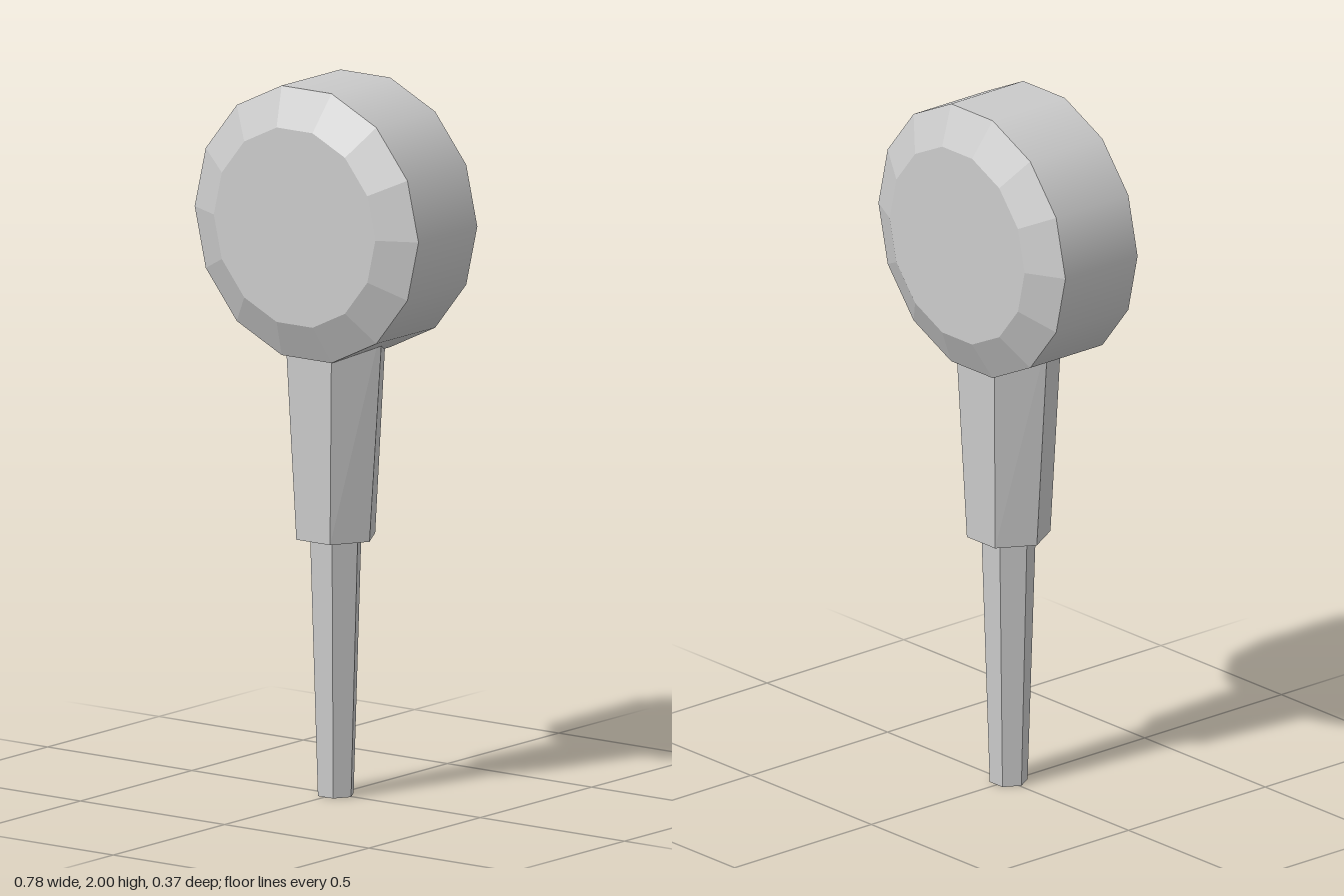
import * as THREE from 'three';

export function createModel() {
  const model = new THREE.Group();
  const smooth = new THREE.MeshStandardMaterial({ color: 0xcccccc });
  const flat = new THREE.MeshStandardMaterial({ color: 0xcccccc, flatShading: true });

  const add = (name, geometry, material, parent) => {
    const mesh = new THREE.Mesh(geometry, material);
    mesh.name = name;
    parent.add(mesh);
    return mesh;
  };

  // Head: fourteen-sided drum lying along z, with a corner on each side
  const SIDES = 14, R = 0.388, FACE_R = 0.28, HALF = 0.132, BEVEL = 0.054;
  const head = new THREE.Group();
  head.name = 'head';
  head.position.y = 1.622;
  model.add(head);

  const drum = (rFront, rBack, depth, open) =>
    new THREE.CylinderGeometry(rFront, rBack, depth, SIDES, 1, open, Math.PI / 2).rotateX(Math.PI / 2);

  add('headBarrel', drum(R, R, HALF * 2, true), smooth, head);

  // Bevelled striking faces, front and back
  for (const [name, turn] of [['frontFace', 0], ['backFace', Math.PI]]) {
    const face = drum(FACE_R, R, BEVEL, false);
    face.translate(0, 0, HALF + BEVEL / 2).rotateY(turn);
    add(name, face, flat, head);
  }

  // Six-sided tapered shafts; topDepth narrows the upper end along z
  const shaft = (name, y0, y1, r0, r1, topDepth = 1) => {
    const g = new THREE.CylinderGeometry(r1, r0, y1 - y0, 6, 1, false, Math.PI / 2);
    const p = g.attributes.position;
    for (let i = 0; i < p.count; i++) {
      if (p.getY(i) > 0) p.setZ(i, p.getZ(i) * topDepth);
    }
    g.translate(0.003, (y0 + y1) / 2, 0.005);
    g.computeVertexNormals();
    add(name, g, flat, model);
  };

  shaft('collar', 0.725, 1.35, 0.117, 0.163, 0.88);
  shaft('handle', 0, 0.76, 0.053, 0.077);

  return model;
}
